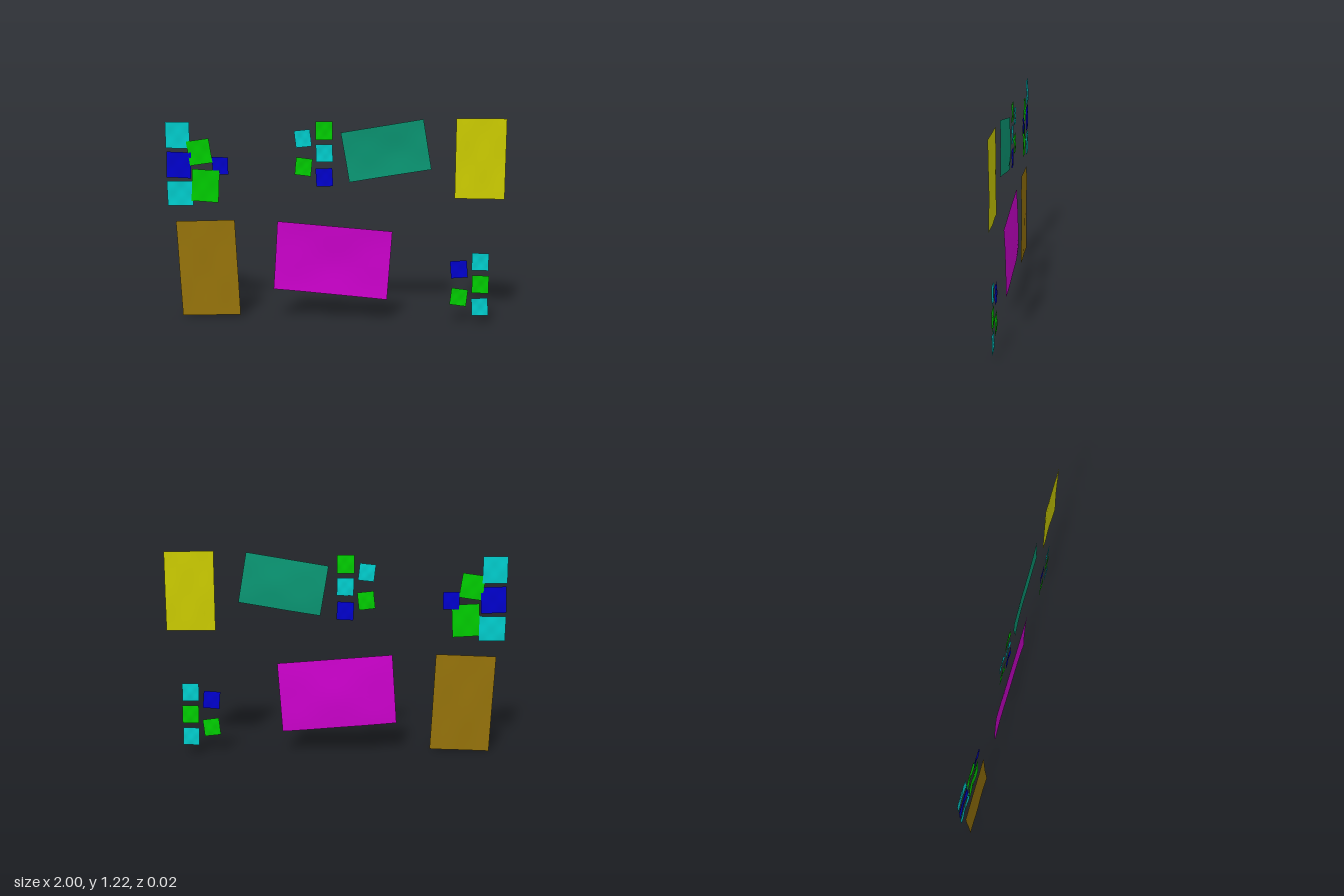
import * as THREE from 'three';

const COLORS = {
  cyan: 0x00cccc, green: 0x00cc00, blue: 0x0000cc, ochre: 0x96730a,
  magenta: 0xcc00cc, teal: 0x0a9673, yellow: 0xcccc00,
};

// name, colour, centre x, centre y, width, height, tilt in degrees, backward sag, base z
const POSTERS = [
  ['ochrePoster', 'ochre', -0.757, 0.305, 0.36, 0.588, 2.6, 0.004, 0.004],
  ['magentaPoster', 'magenta', -0.003, 0.371, 0.686, 0.419, -3.95, 0.017, 0.007],
  ['tealPoster', 'teal', 0.311, 1.031, 0.485, 0.296, 9.8, 0.015, 0.006],
  ['yellowPoster', 'yellow', 0.855, 0.992, 0.286, 0.465, 0, 0.004, 0.004],
];

// colour, centre x, centre y, width, height, tilt in degrees, base z
const NOTES = {
  leftNotes: [
    ['cyan', -0.927, 1.11, 0.146, 0.157, 0, 0.002],
    ['blue', -0.923, 0.932, 0.15, 0.155, -1.5, 0.002],
    ['cyan', -0.92, 0.761, 0.157, 0.148, 1, 0.001],
    ['green', -0.796, 1.011, 0.138, 0.146, 8.5, 0.005],
    ['green', -0.763, 0.81, 0.165, 0.193, -3, 0.006],
    ['blue', -0.672, 0.93, 0.096, 0.104, 0, 0.001],
  ],
  middleNotes: [
    ['cyan', -0.176, 1.098, 0.094, 0.1, 6.5, 0.003],
    ['green', -0.052, 1.146, 0.1, 0.108, 0, 0.003],
    ['cyan', -0.05, 1.014, 0.099, 0.104, 1, 0.003],
    ['green', -0.173, 0.932, 0.097, 0.104, -6, 0.003],
    ['blue', -0.05, 0.871, 0.099, 0.107, 3, 0.003],
  ],
  rightNotes: [
    ['blue', 0.747, 0.337, 0.098, 0.104, 5, 0.003],
    ['cyan', 0.87, 0.385, 0.098, 0.105, 0, 0.003],
    ['green', 0.874, 0.249, 0.098, 0.107, 0, 0.003],
    ['green', 0.75, 0.168, 0.097, 0.103, -6, 0.003],
    ['cyan', 0.874, 0.112, 0.096, 0.106, 3, 0.003],
  ],
};

// Thin paper: flat along the top edge, sagging and rippling further down
function sheet(name, color, x, y, w, h, tilt, sag, z) {
  const geo = new THREE.PlaneGeometry(w, h, 14, 14);
  const pos = geo.attributes.position;
  for (let i = 0; i < pos.count; i++) {
    const u = pos.getX(i) / w + 0.5;
    const v = 0.5 - pos.getY(i) / h;
    const dip = Math.sin(v * Math.PI * 0.7) * (0.55 + 0.45 * Math.sin(u * Math.PI));
    const ripple = 0.0015 * Math.sin(u * 9 + x * 7) * Math.cos(v * 8 + y * 5);
    pos.setZ(i, -sag * dip + ripple);
  }
  geo.computeVertexNormals();
  const mesh = new THREE.Mesh(geo, new THREE.MeshStandardMaterial({
    color: COLORS[color], side: THREE.DoubleSide,
  }));
  mesh.name = name;
  mesh.position.set(x, y, z);
  mesh.rotation.z = THREE.MathUtils.degToRad(tilt);
  return mesh;
}

export function createModel() {
  const model = new THREE.Group();
  model.name = 'wallPapers';

  // Large posters
  for (const p of POSTERS) model.add(sheet(...p));

  // Clusters of small square notes
  for (const [groupName, notes] of Object.entries(NOTES)) {
    const cluster = new THREE.Group();
    cluster.name = groupName;
    notes.forEach(([color, x, y, w, h, tilt, z], i) => {
      cluster.add(sheet(`${color}Note${i + 1}`, color, x, y, w, h, tilt, 0.004, z));
    });
    model.add(cluster);
  }
  return model;
}
